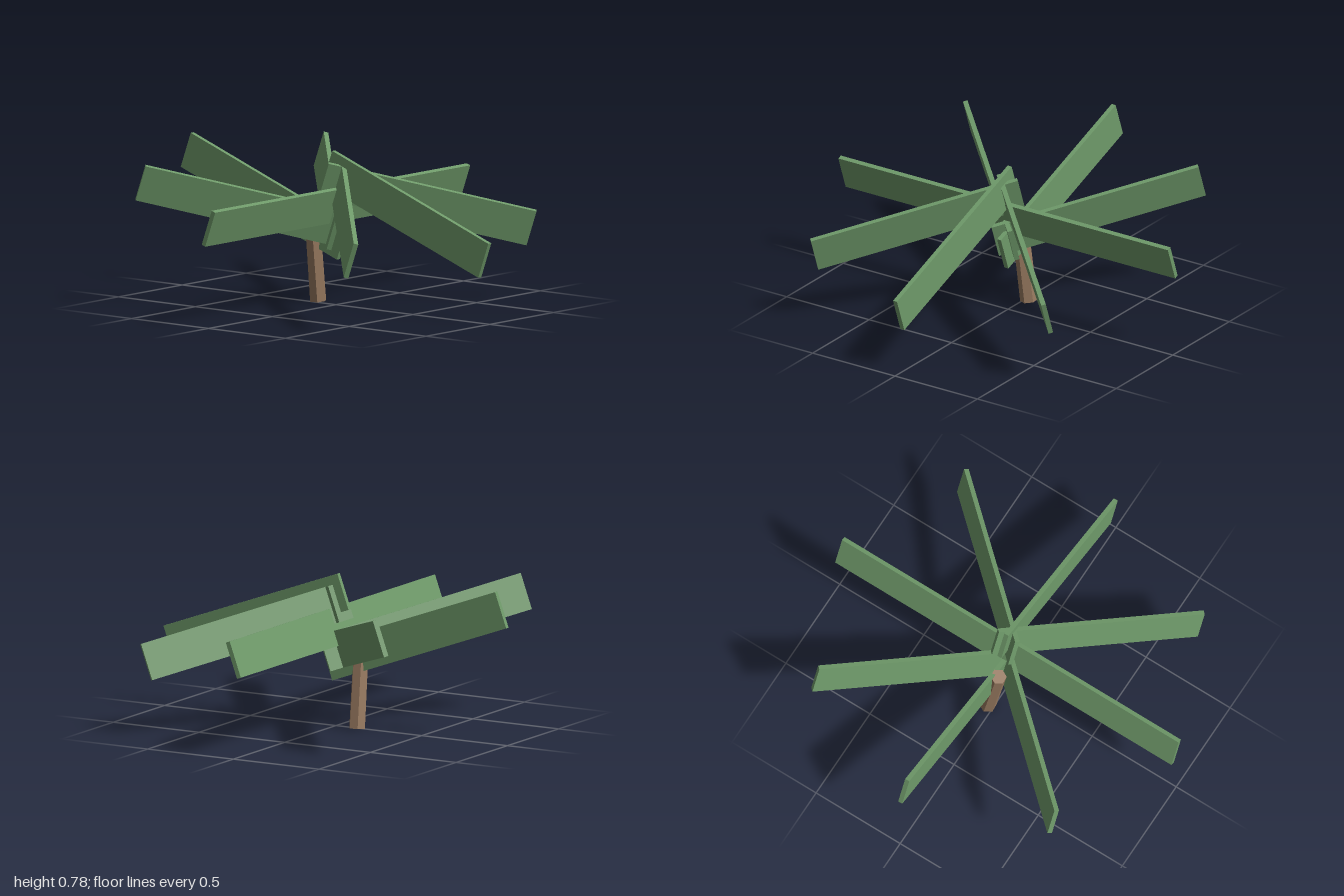
import * as THREE from 'three';

export function createModel() {
  const group = new THREE.Group();
  const green = new THREE.MeshStandardMaterial({ color: 0x6f9a6a, flatShading: true });
  const brown = new THREE.MeshStandardMaterial({ color: 0x97795f, flatShading: true });

  // Eight flat fronds set in a ring, all sharing one sideways tilt
  const frondGeometry = new THREE.BoxGeometry(1.08, 0.19, 0.024);
  const tilt = THREE.MathUtils.degToRad(-20);
  for (let i = 0; i < 8; i++) {
    const angle = (i * Math.PI) / 4;
    const frond = new THREE.Mesh(frondGeometry, green);
    frond.name = `frond${i + 1}`;
    frond.position.set(0.46 * Math.cos(angle), 0.505, 0.46 * Math.sin(angle));
    frond.rotation.set(0, -angle, tilt, 'ZYX'); // turn first, then tilt
    group.add(frond);
  }

  // Short six-sided trunk, leaning forward
  const base = new THREE.Vector3(-0.141, 0.005, -0.03);
  const top = new THREE.Vector3(-0.134, 0.485, 0.03);
  const axis = top.clone().sub(base);
  const trunkGeometry = new THREE.CylinderGeometry(0.041, 0.044, axis.length(), 6);
  trunkGeometry.rotateY(THREE.MathUtils.degToRad(34));
  const trunk = new THREE.Mesh(trunkGeometry, brown);
  trunk.name = 'trunk';
  trunk.position.copy(base).add(top).multiplyScalar(0.5);
  trunk.quaternion.setFromUnitVectors(new THREE.Vector3(0, 1, 0), axis.normalize());
  group.add(trunk);

  return group;
}
